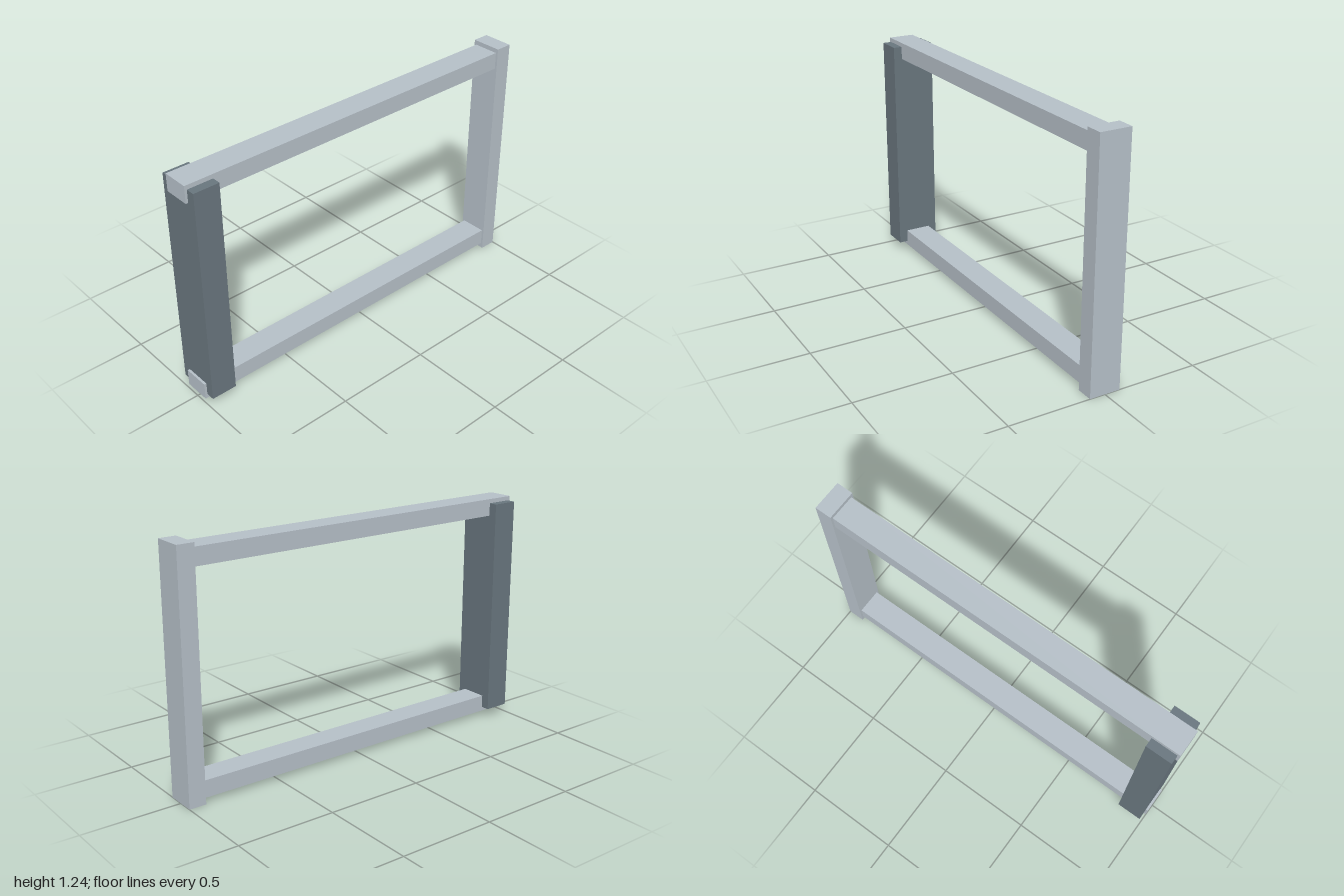
import * as THREE from 'three';

const light = new THREE.MeshStandardMaterial({ color: 0xb4bec6 });
const dark = new THREE.MeshStandardMaterial({ color: 0x68757d });

// Box centred on x, given its width and its y and z limits
function bar(name, width, [y0, y1], [z0, z1], material) {
  const mesh = new THREE.Mesh(new THREE.BoxGeometry(width, y1 - y0, z1 - z0), material);
  mesh.name = name;
  mesh.position.set(0, (y0 + y1) / 2, (z0 + z1) / 2);
  return mesh;
}

export function createModel() {
  const group = new THREE.Group();
  group.name = 'rectangularFrame';

  // Upright at the back
  group.add(bar('backPost', 0.16, [0, 1.237], [-1, -0.912], light));

  // Wider dark upright at the front
  group.add(bar('frontPost', 0.227, [0.049, 1.192], [0.855, 0.988], dark));

  // Long rails, running through the front post and ending at the back post
  const railHeight = 0.088;
  for (const [name, y] of [['bottomRail', 0.027], ['topRail', 1.126]]) {
    group.add(bar(name, 0.136, [y, y + railHeight], [-0.912, 1], light));
  }
  return group;
}
